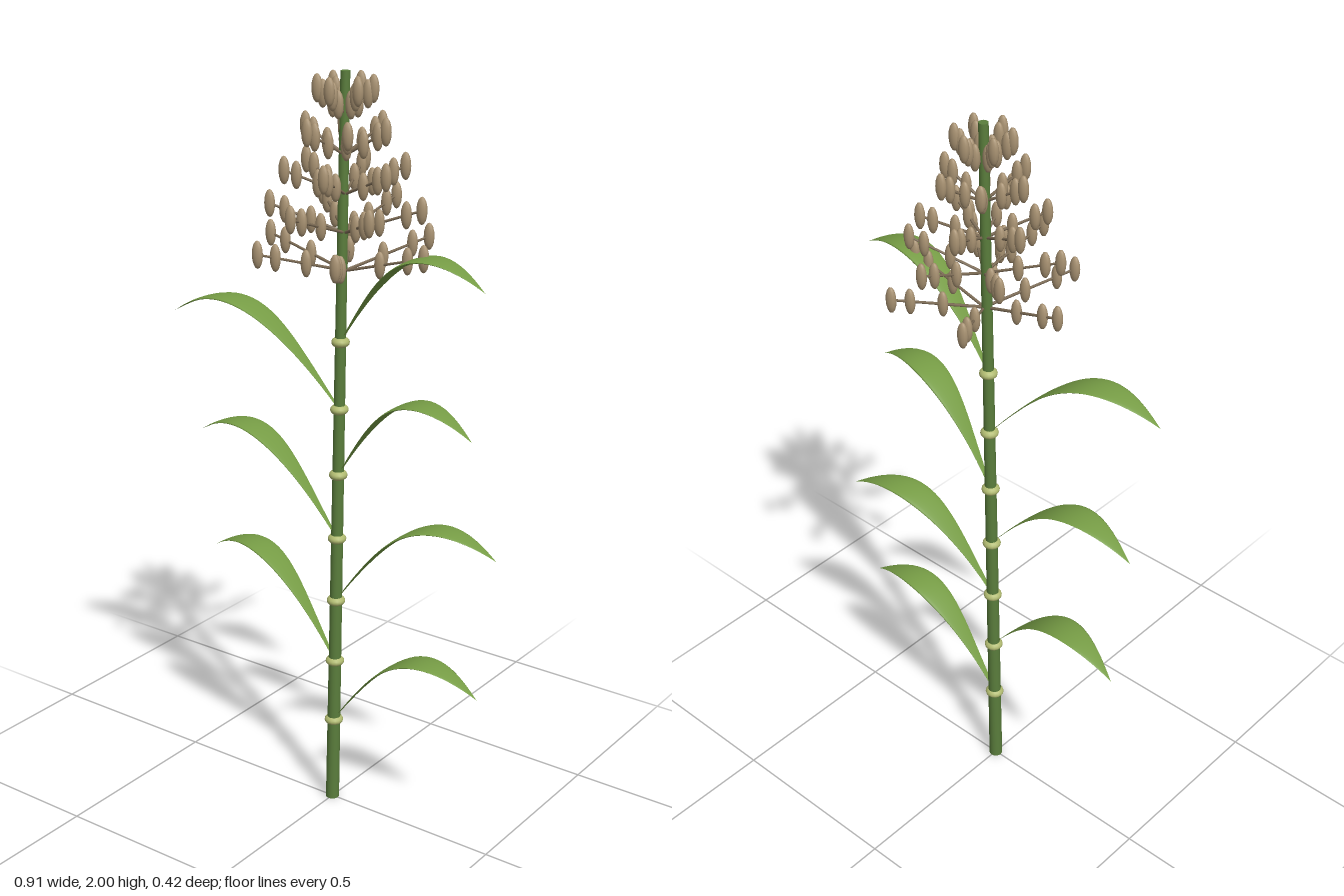
import * as THREE from 'three';

const mat = (name, color, side = THREE.FrontSide) => {
  const m = new THREE.MeshStandardMaterial({ color, side });
  m.name = name;
  return m;
};

// The stalk leans gently towards +x as it rises
const lean = (y) => 0.019 * y;

export function createModel() {
  const stemGreen = mat('stem green', 0x5a7d3c);
  const nodeGreen = mat('node yellow green', 0xb0ba70);
  const leafGreen = mat('leaf green', 0x769c45, THREE.DoubleSide);
  const branchBrown = mat('branch brown', 0x7d6c55);
  const seedTan = mat('seed tan', 0xa89272);

  const plant = new THREE.Group();
  plant.name = 'grainPlant';
  const add = (parent, name, geometry, material) => {
    const mesh = new THREE.Mesh(geometry, material);
    mesh.name = name;
    parent.add(mesh);
    return mesh;
  };

  // Tapered leaning stalk
  const stalk = new THREE.CylinderGeometry(0.012, 0.0185, 2, 16, 10);
  stalk.translate(0, 1, 0);
  const sp = stalk.attributes.position;
  for (let i = 0; i < sp.count; i++) sp.setX(i, sp.getX(i) + lean(sp.getY(i)));
  add(plant, 'stalk', stalk, stemGreen);

  // Arching leaf: a flat oval section swept along a curve, pointed at the tip
  const makeLeaf = (side, baseY, tipZ) => {
    const curve = new THREE.CubicBezierCurve3(
      new THREE.Vector3(lean(baseY), baseY, 0),
      new THREE.Vector3(side * 0.17, baseY + 0.235, tipZ * 0.35),
      new THREE.Vector3(side * 0.275, baseY + 0.325, tipZ * 0.62),
      new THREE.Vector3(side * 0.457, baseY + 0.2, tipZ));
    const g = new THREE.PlaneGeometry(1, 1, 28, 16);
    const p = g.attributes.position;
    for (let i = 0; i < p.count; i++) {
      const t = p.getX(i) + 0.5;
      const a = (p.getY(i) + 0.5) * Math.PI * 2;
      const half = 0.041 * Math.max(Math.sin(Math.PI * t ** 1.35), 0) + 0.004 * (1 - t);
      const c = curve.getPoint(t);
      p.setXYZ(i, c.x, c.y + 0.13 * half * Math.sin(a), c.z + side * half * Math.cos(a));
    }
    g.computeVertexNormals();
    return g;
  };

  // Seven joints, each with a leaf on alternating sides
  const nodeGeo = new THREE.SphereGeometry(1, 16, 10);
  const tipZ = [0, -0.067, -0.075, -0.015, 0.06, 0.075, 0.02];
  tipZ.forEach((z, i) => {
    const y = 0.243 + 0.18 * i;
    const r = 0.0255 - 0.0003 * i;
    const node = add(plant, 'stalkNode', nodeGeo, nodeGreen);
    node.position.set(lean(y), y, 0);
    node.scale.set(r, 0.015, r);
    add(plant, 'leaf', makeLeaf(i % 2 ? -1 : 1, y, z), leafGreen);
  });

  // Seed head: five whorls of six branches, shrinking and twisting upwards
  const head = new THREE.Group();
  head.name = 'seedHead';
  plant.add(head);
  const seedGeo = new THREE.SphereGeometry(1, 12, 8);
  seedGeo.scale(0.0145, 0.035, 0.0115);
  const up = new THREE.Vector3(0, 1, 0);
  for (let tier = 0; tier < 5; tier++) {
    const y = 1.51 + 0.096 * tier;
    const reach = 0.232 - 0.041 * tier;
    for (let k = 0; k < 6; k++) {
      const a = k * Math.PI / 3 + tier * 0.4;
      const base = new THREE.Vector3(0.038, y, 0);
      const dir = new THREE.Vector3(Math.cos(a) * reach, 0.064, -Math.sin(a) * reach);
      const length = dir.length();
      const branch = add(head, 'branch', new THREE.CylinderGeometry(0.003, 0.004, length, 6), branchBrown);
      branch.position.copy(base).addScaledVector(dir, 0.5);
      branch.quaternion.setFromUnitVectors(up, dir.clone().normalize());
      for (const t of [0.45, 0.8, 1]) {
        add(head, 'seed', seedGeo, seedTan).position.copy(base).addScaledVector(dir, t);
      }
    }
  }
  return plant;
}
